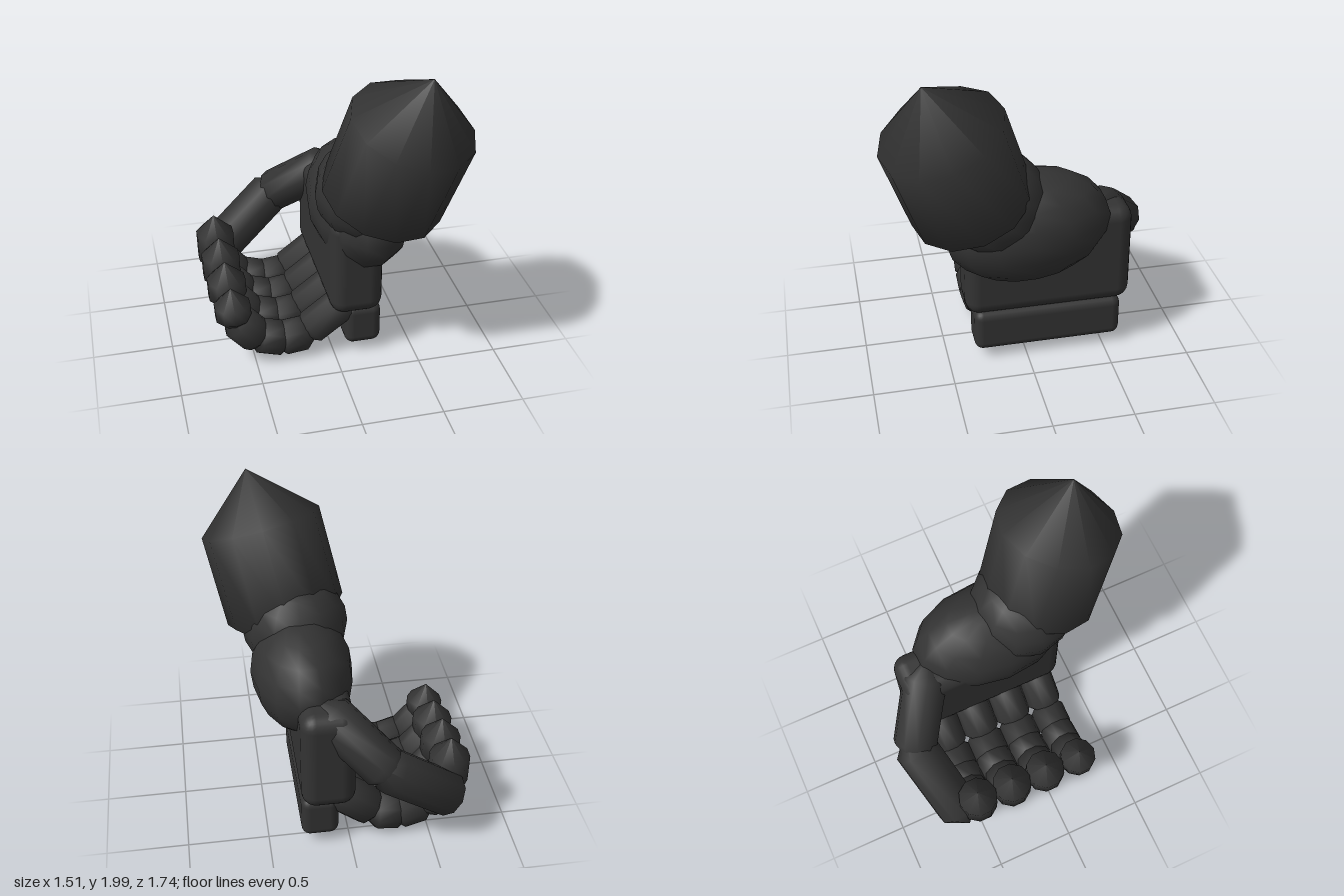
import * as THREE from 'three';
import { RoundedBoxGeometry } from 'three/addons/geometries/RoundedBoxGeometry.js';

const glove = new THREE.MeshStandardMaterial({ color: 0x333333 });
glove.name = 'charcoal glove';

function add(parent, name, geometry, position) {
  const mesh = new THREE.Mesh(geometry, glove);
  mesh.name = name;
  mesh.position.set(...position);
  parent.add(mesh);
  return mesh;
}

// Round limb from a to b with a pointed cap at each end
function limb(parent, name, a, b, radius, sides, cap = radius) {
  const start = new THREE.Vector3(...a);
  const dir = new THREE.Vector3(...b).sub(start);
  const length = dir.length();
  const profile = [[0, -cap], [radius, 0], [radius, length], [0, length + cap]];
  const geometry = new THREE.LatheGeometry(profile.map(p => new THREE.Vector2(...p)), sides);
  const mesh = add(parent, name, geometry, a);
  mesh.quaternion.setFromUnitVectors(new THREE.Vector3(0, 1, 0), dir.normalize());
  return mesh;
}

// Box with rounded edges, given by its two extreme corners
function roundedBox(parent, name, min, max, radius) {
  const size = max.map((v, i) => v - min[i]);
  const centre = max.map((v, i) => (v + min[i]) / 2);
  return add(parent, name, new RoundedBoxGeometry(...size, 3, radius), centre);
}

export function createModel() {
  const hand = new THREE.Group();
  hand.name = 'glovedHand';

  // Forearm and wrist
  limb(hand, 'forearm', [0.275, 1.16, 0.335], [0.395, 1.69, 0.515], 0.375, 12, 0.337);
  add(hand, 'wrist', new THREE.SphereGeometry(0.33, 12, 10), [0.23, 1.13, 0.2]);
  const heel = add(hand, 'heelOfHand', new THREE.SphereGeometry(1, 14, 10), [0.22, 0.94, -0.01]);
  heel.scale.set(0.315, 0.355, 0.52);
  heel.rotation.x = 0.1;

  // Palm and the bar across the knuckles
  roundedBox(hand, 'palm', [-0.03, 0.34, -0.67], [0.3, 1.01, 0.38], 0.09);
  roundedBox(hand, 'knuckleBar', [0.07, 0.08, -0.61], [0.3, 0.36, 0.33], 0.055);

  // Four curled fingers, from little finger to index finger
  const joints = [
    [[0.08, 0.35], [-0.13, 0.19]],
    [[-0.18, 0.15], [-0.31, 0.135]],
    [[-0.33, 0.135], [-0.46, 0.175]],
    [[-0.49, 0.185], [-0.595, 0.305]],
    [[-0.625, 0.35], [-0.63, 0.54]],
  ];
  const names = ['littleFinger', 'ringFinger', 'middleFinger', 'indexFinger'];
  names.forEach((name, i) => {
    const finger = new THREE.Group();
    finger.name = name;
    finger.position.z = 0.22 - i * 0.237;
    const radius = i === 0 ? 0.115 : 0.125;
    joints.forEach(([a, b], j) => {
      const drop = j === joints.length - 1 ? (3 - i) * 0.033 : 0;
      limb(finger, 'phalanx' + (j + 1), [...a, 0], [b[0], b[1] - drop, 0], radius, 10);
    });
    hand.add(finger);
  });

  // Thumb bent round behind the fingers
  const thumb = new THREE.Group();
  thumb.name = 'thumb';
  limb(thumb, 'thumbBase', [0.11, 0.93, -0.51], [-0.18, 0.68, -0.72], 0.14, 10);
  limb(thumb, 'thumbTip', [-0.21, 0.66, -0.73], [-0.6, 0.335, -0.62], 0.14, 10);
  hand.add(thumb);

  return hand;
}
